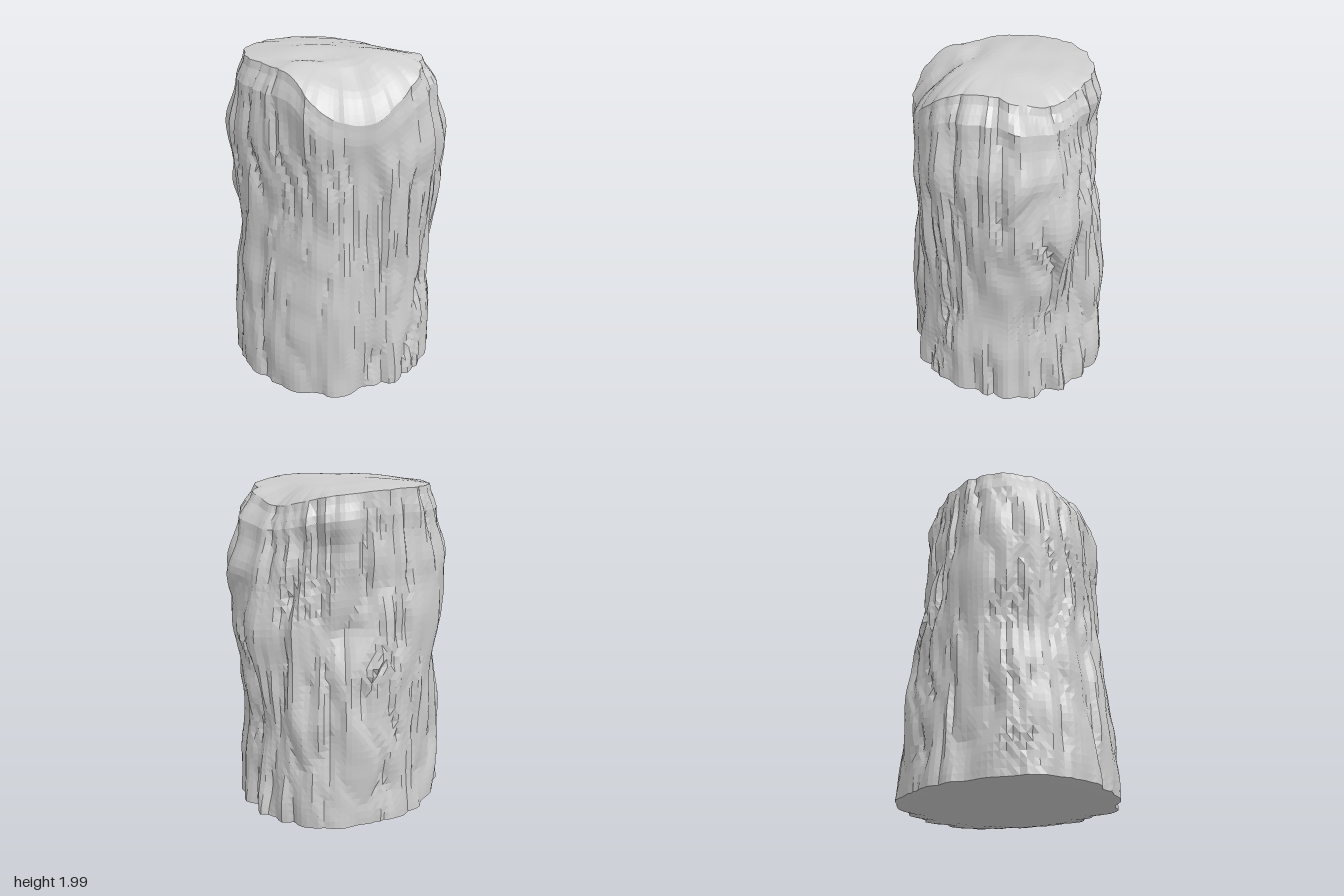
import * as THREE from 'three';

const COLS = 120;
const ROWS = 44;

// Radius around the trunk: one row per direction, every 45 degrees from +x towards +z.
// Values run from the base to the rim, at the fractions in LEVELS.
const LEVELS = [0, 0.14, 0.3, 0.46, 0.62, 0.77, 0.92, 1];
const RADII = [
  [0.60, 0.60, 0.565, 0.575, 0.61, 0.635, 0.565, 0.48],
  [0.61, 0.60, 0.59, 0.58, 0.575, 0.575, 0.55, 0.53],
  [0.62, 0.62, 0.62, 0.59, 0.56, 0.57, 0.58, 0.56],
  [0.64, 0.63, 0.60, 0.57, 0.55, 0.55, 0.53, 0.47],
  [0.635, 0.635, 0.62, 0.59, 0.635, 0.635, 0.575, 0.53],
  [0.595, 0.575, 0.575, 0.595, 0.575, 0.54, 0.51, 0.49],
  [0.615, 0.61, 0.585, 0.555, 0.515, 0.49, 0.475, 0.45],
  [0.61, 0.59, 0.565, 0.585, 0.63, 0.60, 0.52, 0.45],
];
// Flats and swellings of the outline, and rim heights, every 22.5 degrees
const OUTLINE = [0, 0, 0, -0.025, 0, 0, 0, 0.015, 0, -0.01, 0, -0.01, 0, 0, 0, 0.01];
const RIM_Y = [1.94, 1.91, 1.79, 1.68, 1.74, 1.92, 1.94, 1.95, 1.95, 1.95, 1.95, 1.94, 1.92, 1.88, 1.85, 1.89];

// Seeded value noise
const hash = (x, y, z) => {
  let h = Math.imul(x, 374761393) ^ Math.imul(y, 668265263) ^ Math.imul(z, 1274126177);
  h = Math.imul(h ^ (h >>> 13), 1103515245);
  return ((h ^ (h >>> 16)) >>> 0) / 4294967295;
};
const ease = t => t * t * (3 - 2 * t);
const mix = THREE.MathUtils.lerp;
const smoothstep = THREE.MathUtils.smoothstep;
function noise(x, y, z) {
  const [i, j, k] = [x, y, z].map(Math.floor);
  const [u, v, w] = [ease(x - i), ease(y - j), ease(z - k)];
  const edge = (b, c) => mix(hash(i, j + b, k + c), hash(i + 1, j + b, k + c), u);
  return mix(mix(edge(0, 0), edge(1, 0), v), mix(edge(0, 1), edge(1, 1), v), w);
}
const bump = (x, z, cx, cz, sx, sz) => Math.exp(-(((x - cx) / sx) ** 2) - ((z - cz) / sz) ** 2);

// Smooth blend of values spaced evenly around the trunk
function around(values, angle) {
  const n = values.length;
  const s = (angle / (Math.PI * 2)) * n;
  const i = Math.floor(s);
  const t = s - i;
  const [a, b, c, d] = [-1, 0, 1, 2].map(o => values[(i + o + n) % n]);
  return b + 0.5 * t * (c - a + t * (2 * a - 5 * b + 4 * c - d + t * (3 * (b - c) + d - a)));
}

function levelRadius(row, t) {
  let i = 0;
  while (i < LEVELS.length - 2 && t > LEVELS[i + 1]) i++;
  return mix(row[i], row[i + 1], ease((t - LEVELS[i]) / (LEVELS[i + 1] - LEVELS[i])));
}

// Point on the bark at an angle and a fraction t of the height
function barkPoint(angle, t) {
  const baseY = 0.05 + 0.008 * Math.sin(angle * 3);
  const y = mix(baseY, around(RIM_Y, angle), t);
  // Grooves wander sideways as they climb
  const a = angle + 0.35 * (noise(Math.cos(angle) * 2 + 5, y * 2.5, Math.sin(angle) * 2 + 5) - 0.5);
  const c = Math.cos(a), s = Math.sin(a);
  const plates = Math.abs(2 * noise(c * 4 + 20, y * 1.2, s * 4 + 20) - 1);
  const ridges = Math.abs(2 * noise(c * 7 + 40, y * 1.8 + 7, s * 7 + 40) - 1);
  const chips = noise(c * 9 + 60, y * 5, s * 9 + 60) - 0.5;
  // Rougher on the +x side, worn smoother at the rim
  const rough = (0.95 + 0.15 * Math.cos(angle + 0.6)) * (1 - 0.4 * smoothstep(t, 0.85, 1));
  let r = around(RADII.map(row => levelRadius(row, t)), angle) + around(OUTLINE, angle) * (1 - 0.5 * t);
  r += 0.02 - rough * (0.03 * (1 - plates) ** 3 + 0.034 * (1 - ridges) ** 2 - 0.03 * chips);
  // Worn hollow high on the front, knob under the rim at the back
  r -= 0.02 * bump(angle, y, 1.2, 1.45, 0.22, 0.3);
  r += 0.025 * bump(angle, y, 4.75, 1.8, 0.35, 0.08) - 0.015 * bump(angle, y, 4.75, 1.65, 0.3, 0.06);
  return new THREE.Vector3(Math.cos(angle) * r, y, Math.sin(angle) * r);
}

// Point on the broken top; f runs from the rim (1) to the centre (0)
function topPoint(angle, f) {
  const rim = barkPoint(angle, 1);
  const x = rim.x * f, z = rim.z * f;
  const inner = 1 - f ** 6;
  let y = mix(1.97, rim.y, f ** 5);
  y += inner * (0.028 * bump(x, z, -0.14, 0.06, 0.25, 0.13) + 0.015 * bump(x, z, 0.2, 0.12, 0.2, 0.1));
  // Step and sloping shelf towards the front
  y -= inner * 0.025 * bump(x, z, -0.12, 0.21 - 0.12 * x, 0.2, 0.06);
  y -= inner * 0.06 * smoothstep(z + 0.03 * Math.sin(x * 14), 0.24, 0.42) * bump(x, 0, 0.12, 0, 0.25, 1);
  // Scoops at the back
  y -= inner * (0.05 * bump(x, z, 0.34, -0.24, 0.14, 0.14) + 0.02 * bump(x, z, 0.05, -0.37, 0.22, 0.07));
  y += inner * 0.02 * (noise(x * 5 + 30, 3, z * 9 + 30) - 0.5);
  return new THREE.Vector3(x, Math.min(y, 2), z);
}

// Point on the underside; f runs from the centre (0) to the rim (1)
function basePoint(angle, f) {
  const rim = barkPoint(angle, 0);
  const x = rim.x * f, z = rim.z * f;
  const y = mix(0.025 - 0.024 * bump(x, z, 0.28, -0.2, 0.25, 0.25), rim.y, f ** 7);
  return new THREE.Vector3(x, y, z);
}

// Closed rings of points joined into a surface, each quad split along its shorter diagonal
function loft(name, steps, pointAt) {
  const points = [], index = [];
  steps.forEach((t, i) => {
    for (let j = 0; j < COLS; j++) points.push(pointAt((j / COLS) * Math.PI * 2, t));
    for (let j = 0; i > 0 && j < COLS; j++) {
      const next = (j + 1) % COLS;
      const a = (i - 1) * COLS + j, b = i * COLS + j;
      const c = i * COLS + next, d = (i - 1) * COLS + next;
      if (points[b].distanceTo(points[d]) < points[a].distanceTo(points[c])) index.push(a, b, d, b, c, d);
      else index.push(a, b, c, a, c, d);
    }
  });
  const geometry = new THREE.BufferGeometry().setFromPoints(points);
  geometry.setIndex(index);
  geometry.computeVertexNormals();
  const mesh = new THREE.Mesh(geometry, new THREE.MeshStandardMaterial({ color: 0xcccccc, flatShading: true }));
  mesh.name = name;
  return mesh;
}

export function createModel() {
  const group = new THREE.Group();
  group.name = 'treeStump';
  const rows = Array.from({ length: ROWS + 1 }, (_, i) => i / ROWS);
  const capSteps = [1, 0.98, 0.95, 0.91, 0.86, 0.8, 0.73, 0.65, 0.56, 0.47, 0.38, 0.28, 0.18, 0.08, 0];
  group.add(loft('bark', rows, barkPoint));
  group.add(loft('brokenTop', capSteps, topPoint));
  group.add(loft('underside', [0, 0.3, 0.6, 0.8, 0.9, 0.96, 1], basePoint));
  return group;
}
